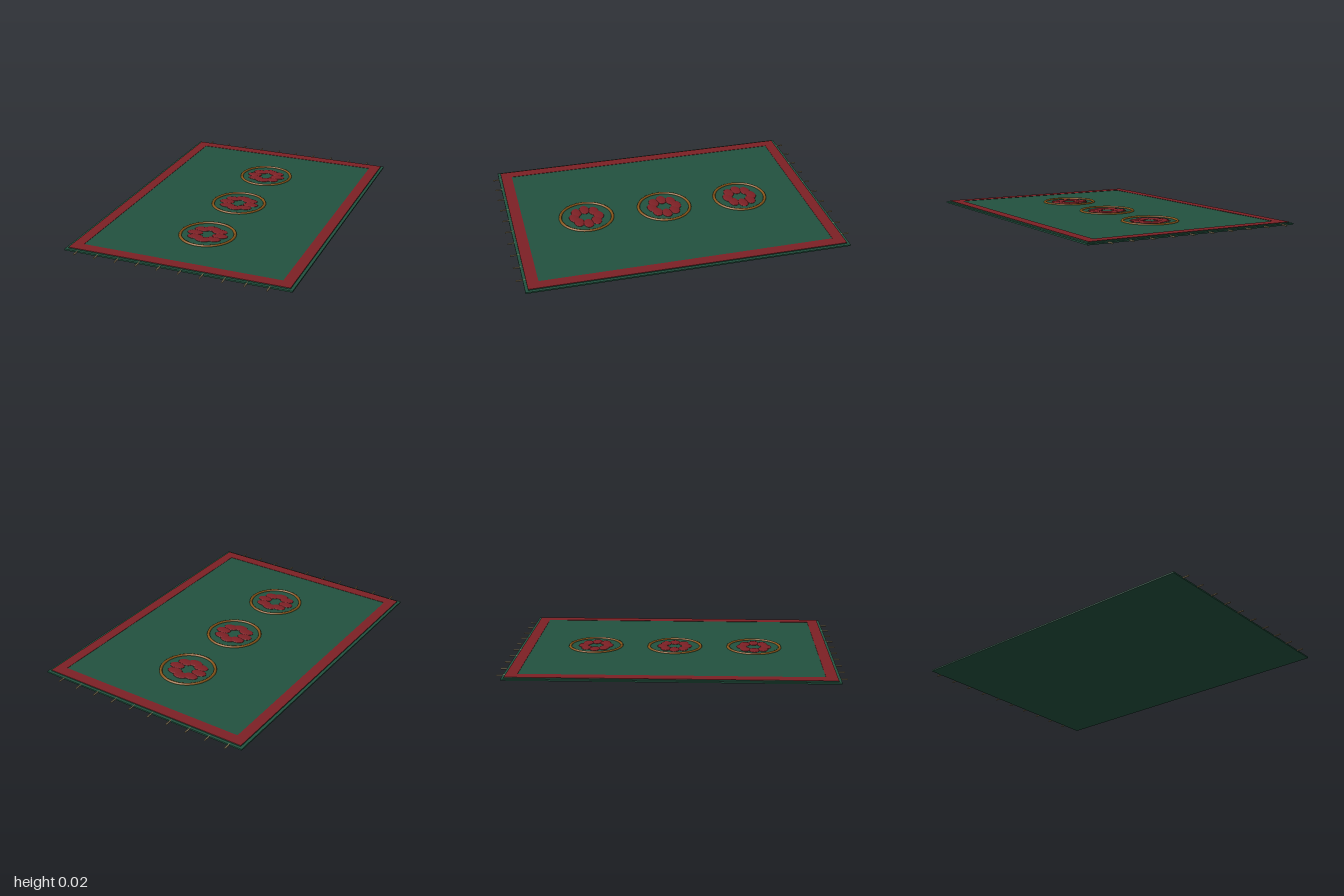
import * as THREE from 'three';

const mat = (name, color, side = THREE.FrontSide) => {
  const m = new THREE.MeshStandardMaterial({ color, side });
  m.name = name;
  return m;
};

export function createModel() {
  const green = mat('green wool', 0x22523f);
  const red = mat('red wool', 0x7d2025);
  const gold = mat('gold braid', 0x85551a);
  const tan = mat('tan fringe', 0x8f8060);

  const rug = new THREE.Group();
  rug.name = 'rug';
  const add = (parent, name, geo, material, x = 0, y = 0, z = 0) => {
    const m = new THREE.Mesh(geo, material);
    m.name = name;
    m.position.set(x, y, z);
    parent.add(m);
    return m;
  };

  // Backing and the slightly smaller woven pile
  add(rug, 'backing', new THREE.BoxGeometry(1.368, 0.009, 1.924), green, 0, 0.0045, 0);
  add(rug, 'field', new THREE.BoxGeometry(1.334, 0.005, 1.89), green, 0, 0.0115, 0);

  // Red border: a flat frame with a rectangular opening
  const rect = (Type, w, d) => new Type([
    new THREE.Vector2(-w, -d), new THREE.Vector2(w, -d),
    new THREE.Vector2(w, d), new THREE.Vector2(-w, d),
  ]);
  const frame = rect(THREE.Shape, 0.667, 0.945);
  frame.holes.push(rect(THREE.Path, 0.603, 0.878));
  const frameGeo = new THREE.ExtrudeGeometry(frame, { depth: 0.002, bevelEnabled: false });
  frameGeo.rotateX(-Math.PI / 2);
  add(rug, 'border', frameGeo, red, 0, 0.014, 0);

  // Three medallions: a braided ring around eight flat petals
  const ringGeo = new THREE.TorusGeometry(0.161, 0.009, 8, 48).rotateX(Math.PI / 2);
  const petalGeo = new THREE.SphereGeometry(1, 16, 10).scale(0.048, 0.006, 0.032);
  for (const z of [-0.493, 0, 0.493]) {
    const medallion = new THREE.Group();
    medallion.name = 'medallion';
    medallion.position.set(0, 0.014, z);
    rug.add(medallion);
    add(medallion, 'ring', ringGeo, gold);
    for (let i = 0; i < 8; i++) {
      const a = (i / 8) * Math.PI * 2;
      add(medallion, 'petal', petalGeo, red, Math.cos(a) * 0.078, 0.001, Math.sin(a) * 0.076);
    }
  }

  // Fringe strands at both ends
  const strandGeo = new THREE.CylinderGeometry(0.005, 0.005, 0.06, 6).rotateX(Math.PI / 2);
  for (const side of [-1, 1]) {
    for (let i = 0; i < 10; i++) {
      add(rug, 'fringe', strandGeo, tan, -0.602 + i * 0.1287, 0.005, side * 0.97);
    }
  }
  return rug;
}
